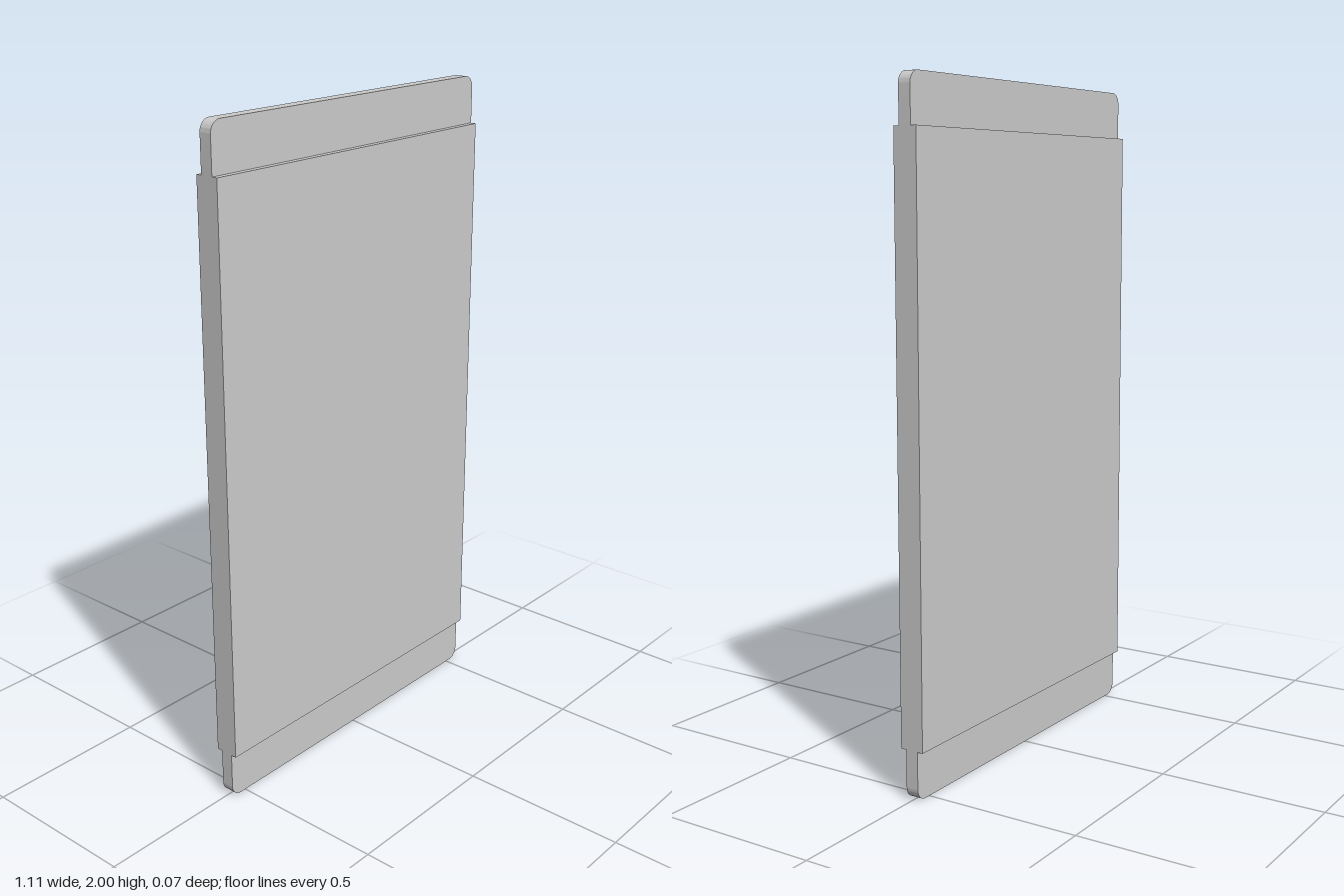
import * as THREE from 'three';
import { toCreasedNormals } from 'three/addons/utils/BufferGeometryUtils.js';

const HALF_WIDTH = 0.553;
const PANEL_BOTTOM = 0.145, PANEL_TOP = 1.857, PANEL_DEPTH = 0.074;
const TAB_DEPTH = 0.039, CORNER = 0.035;

// Thin end tab standing on y = 0, rounded at its two outer corners
function tabGeometry(height) {
  const w = HALF_WIDTH, r = CORNER;
  const shape = new THREE.Shape();
  shape.moveTo(-w, 0);
  shape.lineTo(w, 0);
  shape.lineTo(w, height - r);
  shape.absarc(w - r, height - r, r, 0, Math.PI / 2, false);
  shape.lineTo(-w + r, height);
  shape.absarc(-w + r, height - r, r, Math.PI / 2, Math.PI, false);
  shape.closePath();
  const geometry = new THREE.ExtrudeGeometry(shape, {
    depth: TAB_DEPTH, bevelEnabled: false, curveSegments: 10,
  });
  geometry.translate(0, 0, -TAB_DEPTH / 2);
  return toCreasedNormals(geometry, Math.PI / 6);
}

export function createModel() {
  const model = new THREE.Group();
  model.name = 'board';
  const material = new THREE.MeshStandardMaterial({ color: 0xcccccc });

  function add(name, geometry, y) {
    const mesh = new THREE.Mesh(geometry, material);
    mesh.name = name;
    mesh.position.y = y;
    model.add(mesh);
    return mesh;
  }

  // Thick central panel
  const height = PANEL_TOP - PANEL_BOTTOM;
  add('mainPanel', new THREE.BoxGeometry(HALF_WIDTH * 2, height, PANEL_DEPTH), PANEL_BOTTOM + height / 2);

  // Thin tabs above and below; the lower one is turned over
  add('topTab', tabGeometry(2 - PANEL_TOP), PANEL_TOP);
  add('bottomTab', tabGeometry(PANEL_BOTTOM), PANEL_BOTTOM).rotation.z = Math.PI;

  return model;
}
